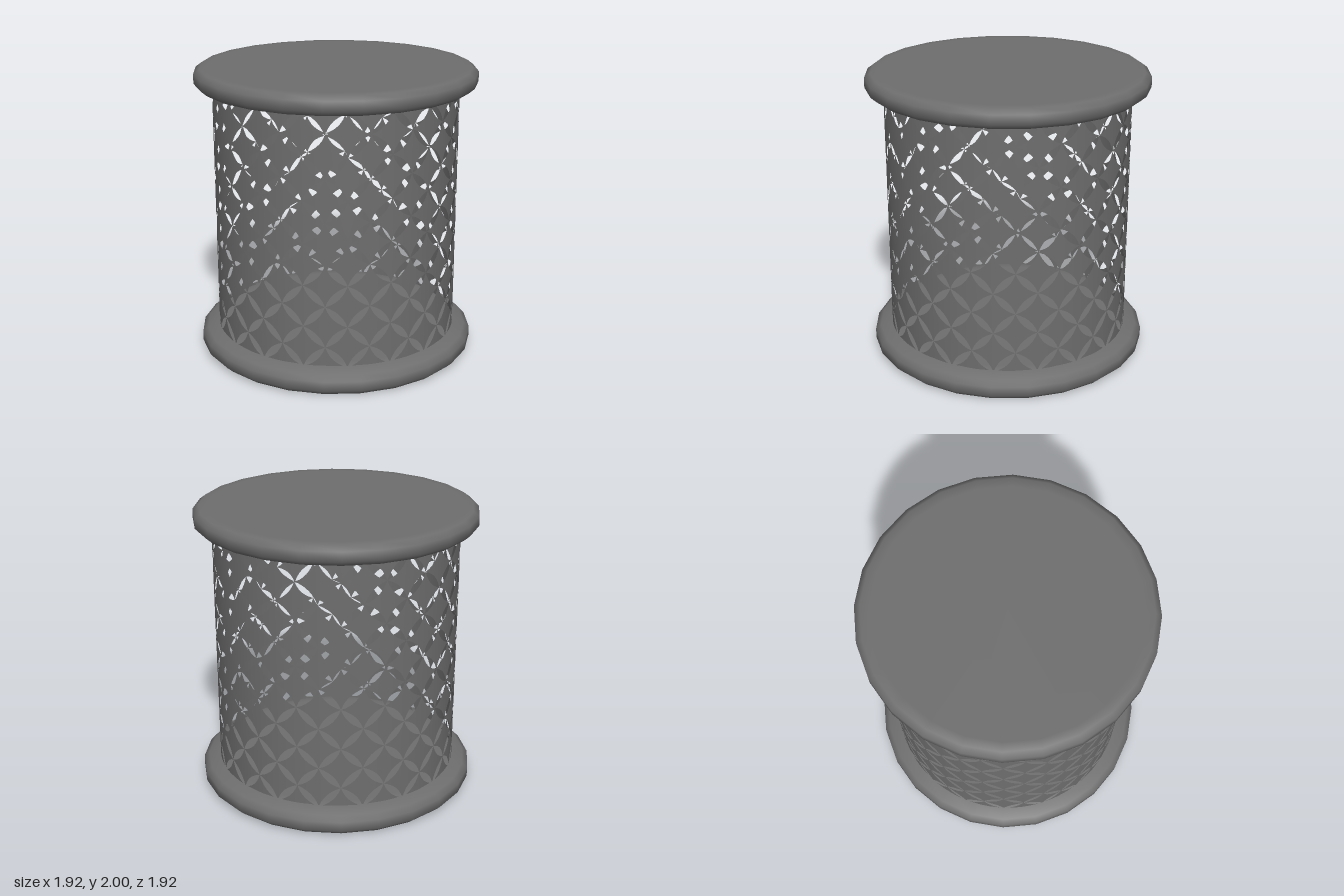
import * as THREE from 'three';

const RADIUS = 0.837;          // lattice wall
const BOTTOM = 0.153, TOP = 1.869;
const COLS = 36, ROWS = 12;    // half-cells around and up
const BULGE = 0.125;           // how far each petal opening cuts into a cell
const SIDE_SEGS = 6, RINGS = 4;

const material = new THREE.MeshStandardMaterial({ color: 0x6e6e6e, side: THREE.DoubleSide });

// Round end cap turned from a half profile of [radius, y]
function makeCap(name, profile) {
  const points = profile.map(([r, y]) => new THREE.Vector2(r, y));
  const cap = new THREE.Mesh(new THREE.LatheGeometry(points, 24), material);
  cap.name = name;
  return cap;
}

// Outline of a four-pointed cell with inward curved sides, in half-cell units
function cellPoint(k) {
  const quarter = Math.floor(k / SIDE_SEGS) % 4;
  const t = (k % SIDE_SEGS) / SIDE_SEGS;
  const cut = BULGE * 4 * t * (1 - t);
  const a = 1 - t - cut, b = t - cut;
  return [[a, b], [-b, a], [-a, -b], [b, -a]][quarter];
}

// Thin cylinder wall made of cells; the gaps between them are the petal openings
function makeLattice() {
  const positions = [], normals = [], indices = [];
  const stepAngle = (Math.PI * 2) / COLS, stepY = (TOP - BOTTOM) / ROWS;
  const addVertex = (u, v) => {
    const a = u * stepAngle;
    positions.push(Math.sin(a) * RADIUS, BOTTOM + v * stepY, Math.cos(a) * RADIUS);
    normals.push(Math.sin(a), 0, Math.cos(a));
  };
  const half = SIDE_SEGS * 2;
  for (let row = 0; row <= ROWS; row++) {
    for (let col = (row + 1) % 2; col < COLS; col += 2) {
      // half cells at the bottom and top edges
      const first = row === ROWS ? half : 0;
      const last = row === 0 ? half : half * 2;
      const count = last - first + 1, base = positions.length / 3;
      for (let ring = 0; ring <= RINGS; ring++) {
        for (let k = first; k <= last; k++) {
          const [u, v] = cellPoint(k);
          addVertex(col + (u * ring) / RINGS, row + (v * ring) / RINGS);
        }
      }
      for (let ring = 0; ring < RINGS; ring++) {
        for (let k = 0; k < count - 1; k++) {
          const a = base + ring * count + k, b = a + count;
          indices.push(a, b, b + 1);
          if (ring > 0) indices.push(a, b + 1, a + 1);
        }
      }
    }
  }
  const geometry = new THREE.BufferGeometry();
  geometry.setAttribute('position', new THREE.Float32BufferAttribute(positions, 3));
  geometry.setAttribute('normal', new THREE.Float32BufferAttribute(normals, 3));
  geometry.setIndex(indices);
  const wall = new THREE.Mesh(geometry, material);
  wall.name = 'latticeWall';
  return wall;
}

export function createModel() {
  const group = new THREE.Group();
  group.name = 'latticeDrum';
  group.add(makeCap('base', [
    [0, 0], [0.86, 0], [0.92, 0.002], [0.96, 0.04], [0.96, 0.105],
    [0.922, 0.138], [0.837, 0.166], [0.78, 0.167], [0, 0.167],
  ]));
  group.add(makeLattice());
  group.add(makeCap('lid', [
    [0, 1.867], [0.86, 1.867], [0.92, 1.869], [0.96, 1.903], [0.96, 1.968],
    [0.92, 1.998], [0.86, 2], [0, 2],
  ]));
  return group;
}
